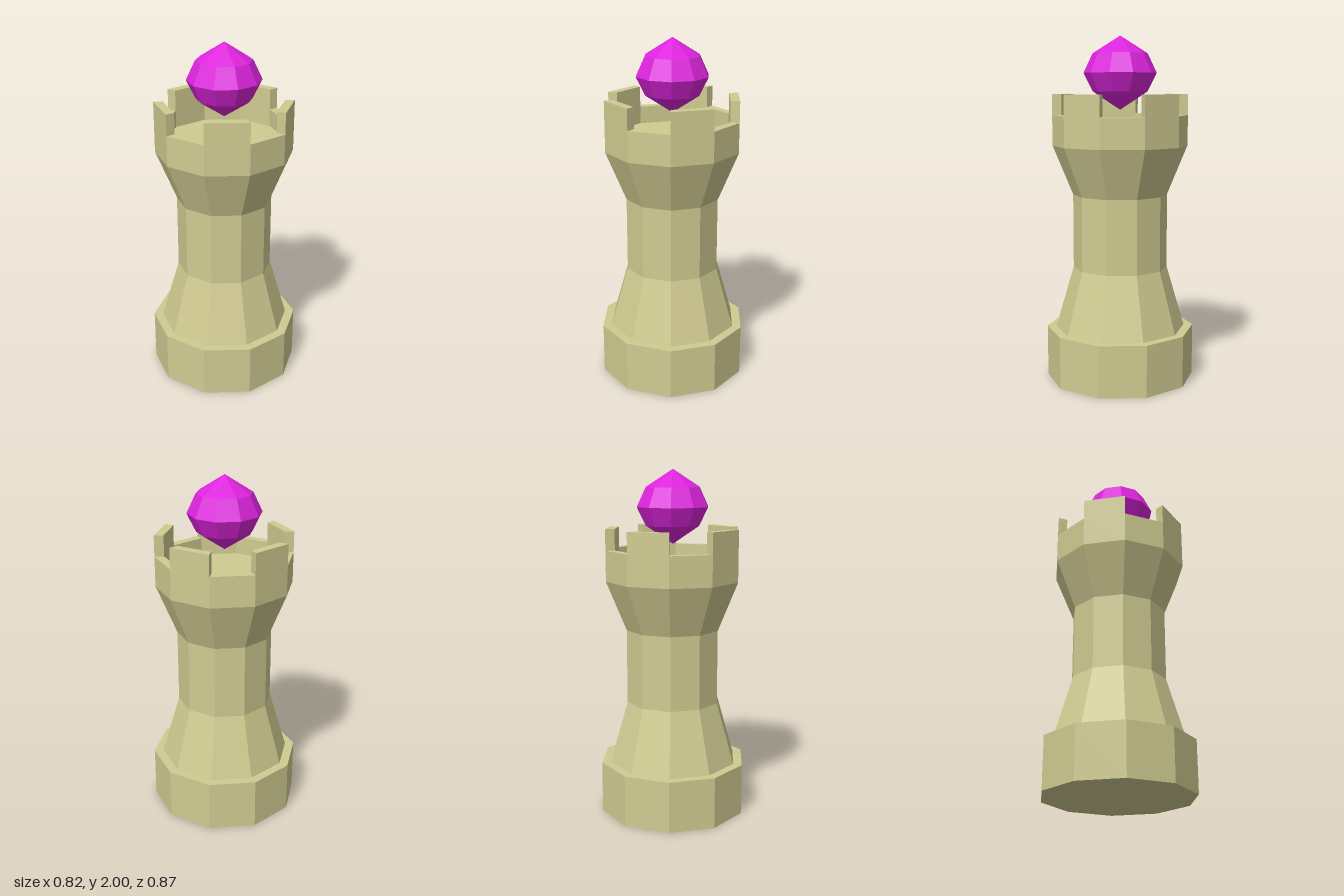
import * as THREE from 'three';

const SIDES = 10;
const STEP = (Math.PI * 2) / SIDES;
const WALL_OUTER = 0.392;
const WALL_INNER = 0.338;
const WALL_TOP = 1.55;

// Ten-sided turned part from a bottom-to-top profile of [radius, height]
function turned(name, profile, material) {
  const points = profile.map(([r, y]) => new THREE.Vector2(r, y));
  // Non-indexed triangles with per-face normals keep every facet flat
  const geometry = new THREE.LatheGeometry(points, SIDES).toNonIndexed();
  geometry.computeVertexNormals();
  const mesh = new THREE.Mesh(geometry, material);
  mesh.name = name;
  return mesh;
}

// One battlement block spanning a single side of the decagon
function merlonGeometry(height) {
  const corner = (r, k) => new THREE.Vector2(r * Math.sin(k * STEP), -r * Math.cos(k * STEP));
  const shape = new THREE.Shape([
    corner(WALL_OUTER, 1), corner(WALL_OUTER, 2),
    corner(WALL_INNER, 2), corner(WALL_INNER, 1),
  ]);
  const geometry = new THREE.ExtrudeGeometry(shape, { depth: height, bevelEnabled: false });
  geometry.rotateX(-Math.PI / 2);
  geometry.translate(0, WALL_TOP, 0);
  return geometry;
}

export function createModel() {
  const stone = new THREE.MeshStandardMaterial({ color: 0xd0cb91 });
  stone.name = 'pale stone';
  const magenta = new THREE.MeshStandardMaterial({ color: 0xdd24dd });
  magenta.name = 'magenta crystal';

  const tower = new THREE.Group();
  tower.name = 'crystalTower';

  // Plinth and body
  tower.add(turned('base', [[0, 0], [0.433, 0], [0.433, 0.3], [0, 0.3]], stone));
  tower.add(turned('shaft', [[0.38, 0.3], [0.275, 0.66], [0.275, 1.09], [WALL_OUTER, 1.375]], stone));

  // Parapet wall with a sunken floor
  tower.add(turned('parapet', [
    [WALL_OUTER, 1.375], [WALL_OUTER, WALL_TOP], [WALL_INNER, WALL_TOP],
    [WALL_INNER, 1.45], [0, 1.45],
  ], stone));

  // Battlements on every other side
  const battlements = new THREE.Group();
  battlements.name = 'battlements';
  const block = merlonGeometry(0.12);
  for (let i = 0; i < SIDES / 2; i++) {
    const merlon = new THREE.Mesh(block, stone);
    merlon.name = 'merlon';
    merlon.rotation.y = i * 2 * STEP;
    battlements.add(merlon);
  }
  tower.add(battlements);

  // Faceted crystal floating above the floor
  tower.add(turned('crystal', [
    [0, 1.58], [0.158, 1.685], [0.21, 1.79], [0.158, 1.9], [0, 2],
  ], magenta));

  return tower;
}
